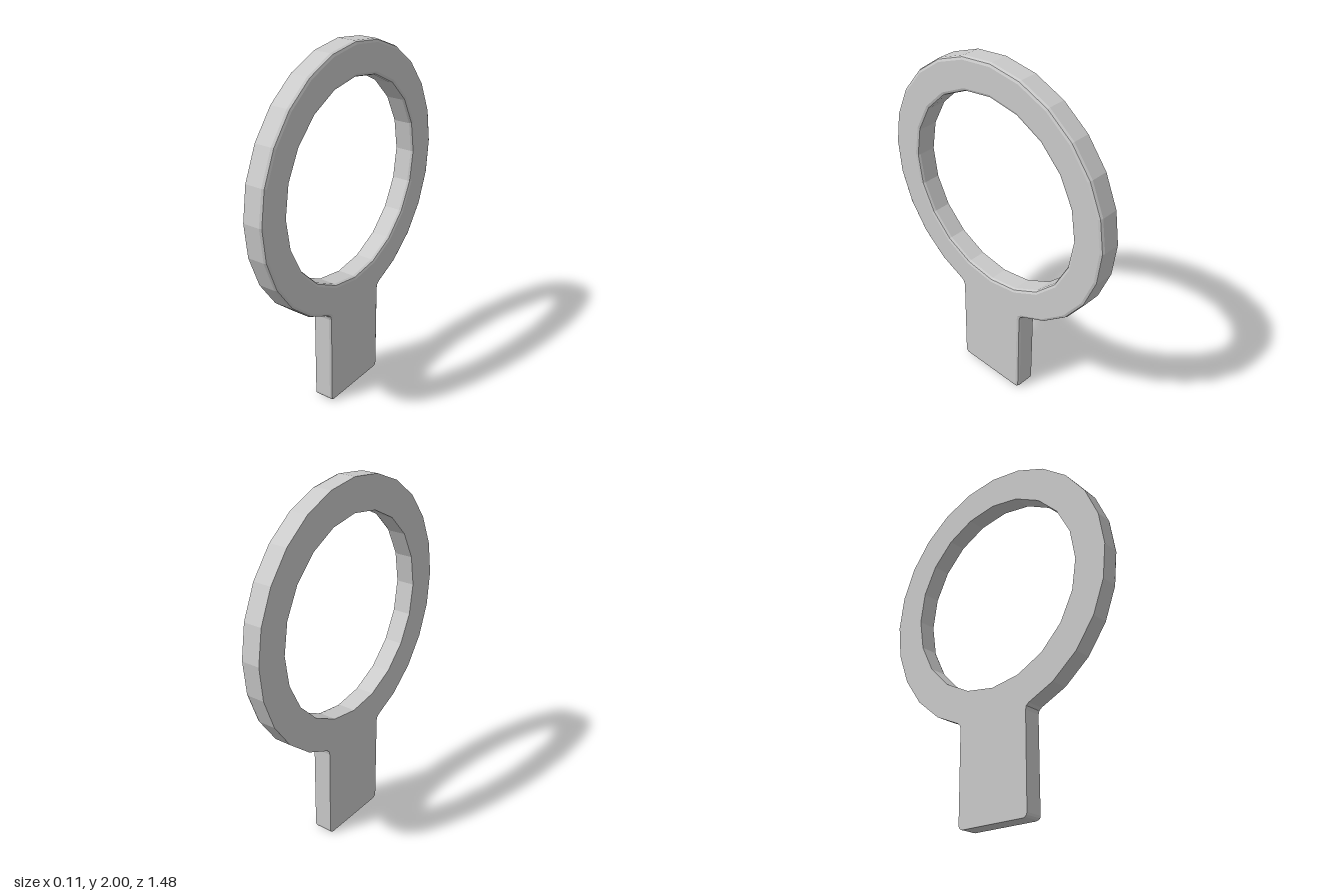
import * as THREE from 'three';

const CENTRE = 1.262, OUTER = 0.738, INNER = 0.557;
const HALF_STEM = 0.22, HALF_THICK = 0.057, BEVEL = 0.018;

const onRing = (r, a) => new THREE.Vector2(r * Math.cos(a), CENTRE + r * Math.sin(a));

// Ring and handle share one outline: ring arc, small fillets, handle with rounded foot
function outline() {
  const pts = [];
  const join = Math.asin(HALF_STEM / OUTER);
  const start = -Math.PI / 2 + join, sweep = 2 * (Math.PI - join), segments = 22;
  for (let i = 1; i < segments; i++) pts.push(onRing(OUTER, start + (sweep * i) / segments));

  // One side of the handle from the ring down to the foot
  const joinY = CENTRE - OUTER * Math.cos(join), r = 0.025;
  const side = [
    [HALF_STEM + 0.02, joinY + 0.008],
    [HALF_STEM + 0.005, joinY - 0.005],
    [HALF_STEM, joinY - 0.025],
  ];
  for (let i = 0; i <= 3; i++) {
    const a = (i / 3) * Math.PI / 2;
    side.push([HALF_STEM - r + r * Math.cos(a), r - r * Math.sin(a)]);
  }
  side.forEach(([u, v]) => pts.push(new THREE.Vector2(-u, v)));
  side.reverse().forEach(([u, v]) => pts.push(new THREE.Vector2(u, v)));
  return pts;
}

export function createModel() {
  const shape = new THREE.Shape(outline());
  const hole = [];
  for (let i = 0; i < 20; i++) hole.push(onRing(INNER, (-i / 20) * Math.PI * 2));
  shape.holes.push(new THREE.Path(hole));

  const geometry = new THREE.ExtrudeGeometry(shape, {
    depth: 2 * HALF_THICK - BEVEL,
    bevelEnabled: true,
    bevelThickness: BEVEL,
    bevelSize: BEVEL,
    bevelOffset: -BEVEL,
    bevelSegments: 2,
  });

  // Only one face has softened edges: press the other bevel flat
  const p = geometry.attributes.position;
  for (let i = 0; i < p.count; i++) p.setZ(i, Math.max(0, p.getZ(i)));
  geometry.translate(0, 0, -HALF_THICK);
  geometry.rotateY(Math.PI / 2);
  geometry.computeVertexNormals();

  const body = new THREE.Mesh(
    geometry,
    new THREE.MeshStandardMaterial({ color: 0xcccccc, flatShading: true })
  );
  body.name = 'ringWithHandle';

  const group = new THREE.Group();
  group.name = 'handledRing';
  group.add(body);
  return group;
}
